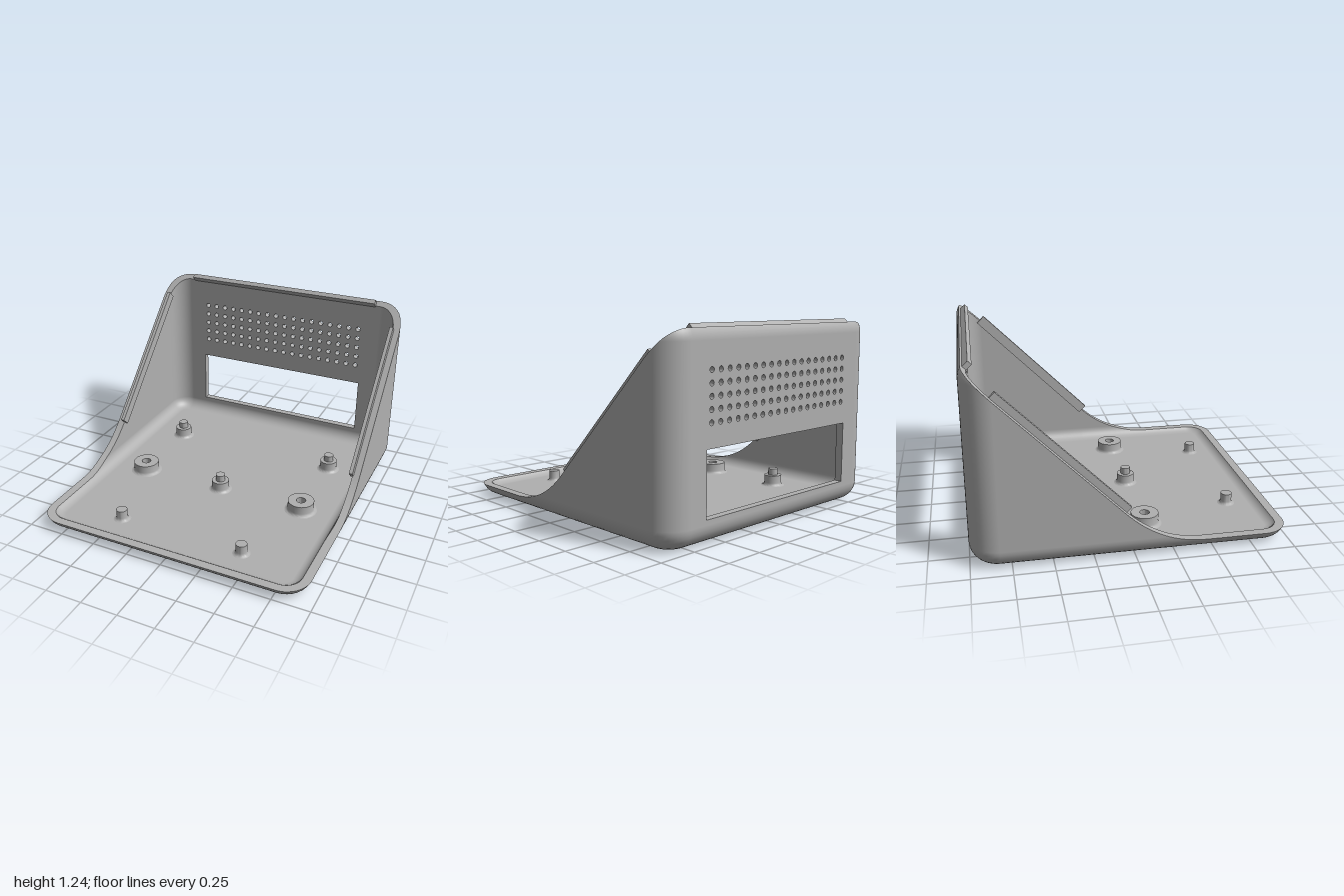
import * as THREE from 'three';
import { toCreasedNormals } from 'three/addons/utils/BufferGeometryUtils.js';

const HX = 0.953, ZF = 1.01, ZB = -1, R = 0.18;   // outer plan and its corner radius
const WALL = 0.05, TOP = 1.15, PX = HX - R;        // PX: half width of the flat back panel
const OUTER = { t: 0, base: 0, r: 0.13, round: true };
const INNER = { t: WALL, base: WALL, r: 0.08, round: false };

// Height of the cut rim: flat front, arc, then a 45 degree slope
function rimHeight(z) {
  if (z > 0.46) return 0.08;
  if (z > -0.05) return 0.8 - Math.sqrt(0.72 ** 2 - (0.46 - z) ** 2);
  return 0.24 - z;
}

// Columns around the plan: a centre and an outward direction
function planColumns() {
  const cols = [];
  const corner = (x, z, a0) => {
    for (let i = 0; i <= 10; i++) {
      const a = a0 + (i / 10) * Math.PI / 2;
      cols.push({ x, z, nx: Math.cos(a), nz: Math.sin(a) });
    }
  };
  const side = (s) => {
    for (let i = 0; i <= 14; i++) {
      const k = s > 0 ? i : 14 - i;
      cols.push({ x: s * PX, z: -0.05 + 0.51 * k / 14, nx: s, nz: 0 });
    }
  };
  side(1);
  corner(PX, ZF - R, 0);
  corner(-PX, ZF - R, Math.PI / 2);
  side(-1);
  corner(-PX, ZB + R, Math.PI);
  corner(PX, ZB + R, Math.PI * 1.5);
  return cols;
}
const COLS = planColumns();

// Vertical tilt of the wall normal and inset of the wall at a height
function tilt(s, y) {
  if (y < s.base + s.r) return -(s.base + s.r - y) / s.r;
  return s.round && y > TOP ? (y - TOP) / s.r : 0;
}
const inset = (s, y) => s.t + s.r * (1 - Math.sqrt(Math.max(0, 1 - tilt(s, y) ** 2)));

function pointAt(s, c, y) {
  const d = R - inset(s, y);
  return [c.x + c.nx * d, y, c.z + c.nz * d];
}

function rimOf(s, c) {
  let h = 0.6;
  for (let i = 0; i < 40; i++) h = Math.min(1.25, rimHeight(pointAt(s, c, h)[2]));
  return h;
}

// Wall with rounded foot, leaving an opening for the flat back panel
function wallGeometry(s) {
  const K = 8, T = 4, rows = K + T + 2, n = COLS.length;
  const pos = [], nor = [], idx = [], sign = s.round ? 1 : -1;
  const heights = COLS.map((c) => {
    const h = rimOf(s, c), ys = [];
    const aMax = Math.acos(Math.max(0, 1 - (h - s.base) / s.r));
    for (let k = 0; k <= K; k++) ys.push(s.base + s.r * (1 - Math.cos(aMax * k / K)));
    const h1 = Math.min(h, TOP);
    for (let k = 0; k <= T; k++) ys.push(h1 + (h - h1) * k / T);
    return ys;
  });
  COLS.forEach((c, i) => heights[i].forEach((y) => {
    const ny = tilt(s, y), m = Math.sqrt(Math.max(0, 1 - ny * ny));
    pos.push(...pointAt(s, c, y));
    nor.push(sign * c.nx * m, sign * ny, sign * c.nz * m);
  }));
  for (let i = 0; i < n; i++) {
    const j = (i + 1) % n;
    const back = COLS[i].nz < -0.999 && COLS[j].nz < -0.999;
    for (let k = 0; k < rows - 1; k++) {
      if (back && k === K) continue;
      const same = (q) => Math.abs(heights[q][k + 1] - heights[q][k]) < 1e-6;
      if (same(i) && same(j)) continue;
      const a = i * rows + k, b = j * rows + k;
      if (s.round) idx.push(a, a + 1, b, b, a + 1, b + 1);
      else idx.push(a, b, a + 1, b, b + 1, a + 1);
    }
  }
  const g = new THREE.BufferGeometry();
  g.setAttribute('position', new THREE.Float32BufferAttribute(pos, 3));
  g.setAttribute('normal', new THREE.Float32BufferAttribute(nor, 3));
  g.setIndex(idx);
  return g;
}

// Band joining the outer and inner wall tops
function rimGeometry() {
  const pos = [], idx = [], n = COLS.length;
  COLS.forEach((c, i) => {
    for (const s of [OUTER, INNER]) pos.push(...pointAt(s, c, rimOf(s, c)));
    const a = i * 2, b = ((i + 1) % n) * 2;
    idx.push(a, a + 1, b, b, a + 1, b + 1);
  });
  const g = new THREE.BufferGeometry();
  g.setAttribute('position', new THREE.Float32BufferAttribute(pos, 3));
  g.setIndex(idx);
  g.computeVertexNormals();
  return g;
}

function circleHole(x, y, r) {
  const p = new THREE.Path();
  p.absarc(x, y, r, 0, Math.PI * 2, true);
  return p;
}

function rectPoints(x, y0, y1) {
  return [[-x, y0], [x, y0], [x, y1], [-x, y1]].map((p) => new THREE.Vector2(...p));
}

export function createModel() {
  const group = new THREE.Group();
  const grey = new THREE.MeshStandardMaterial({ color: 0xb0b0b0 });
  grey.name = 'grey plastic';
  const add = (name, geometry, x = 0, y = 0, z = 0) => {
    const m = new THREE.Mesh(geometry, grey);
    m.name = name;
    m.position.set(x, y, z);
    group.add(m);
    return m;
  };

  // Shell
  add('outerWall', wallGeometry(OUTER));
  add('innerWall', wallGeometry(INNER));
  add('rim', rimGeometry());

  // Floor slab with two screw holes
  const floor = new THREE.Shape(COLS.map((c) => new THREE.Vector2(c.x + c.nx * 0.05, c.z + c.nz * 0.05)));
  for (const s of [-1, 1]) floor.holes.push(circleHole(s * 0.61, 0.125, 0.032));
  const slab = new THREE.ExtrudeGeometry(floor, { depth: WALL, bevelEnabled: false, curveSegments: 16 });
  add('floor', slab.rotateX(Math.PI / 2), 0, WALL, 0);

  // Back panel with window and vent holes
  const panel = new THREE.Shape(rectPoints(PX, 0.13, TOP));
  panel.holes.push(new THREE.Path(rectPoints(0.655, 0.16, 0.555).reverse()));
  for (let i = 0; i < 18; i++) {
    for (let j = 0; j < 5; j++) {
      panel.holes.push(circleHole(-0.62 + i * 1.24 / 17, 0.7 + j * 0.0725, 0.017));
    }
  }
  add('backPanel', new THREE.ExtrudeGeometry(panel, { depth: WALL, bevelEnabled: false, curveSegments: 8 }), 0, 0, ZB);

  // Floor bosses with flared feet
  const boss = (name, x, z, r, top) => {
    const foot = [[r + 0.022, 0.05], [r + 0.01, 0.053], [r + 0.003, 0.06], [r, 0.072], [r, 0.125]];
    const pts = [...foot, ...top].map((p) => new THREE.Vector2(...p));
    add(name, toCreasedNormals(new THREE.LatheGeometry(pts, 32), 0.7), x, 0, z);
  };
  const pin = [[0.033, 0.125], [0.033, 0.17], [0, 0.17]];
  boss('centreStandoff', 0, 0.125, 0.06, pin);
  for (const s of [-1, 1]) {
    boss('rearStandoff', s * 0.61, -0.46, 0.06, pin);
    boss('screwBoss', s * 0.61, 0.125, 0.09, [[0.032, 0.125], [0.032, 0.05]]);
    boss('frontPost', s * 0.44, 0.735, 0.037, [[0, 0.125]]);
  }

  // Locating rails on the sloped rim
  const rail = (name, w, len, x, z) => {
    const m = add(name, new THREE.BoxGeometry(w, 0.07, len), x, 0.24 - z + 0.007, z + 0.007);
    m.rotation.x = Math.PI / 4;
  };
  rail('topRail', 1.47, 0.032, 0, -0.957);
  for (const s of [-1, 1]) rail('sideRail', 0.025, 1.1, s * 0.898, -0.445);

  return group;
}
